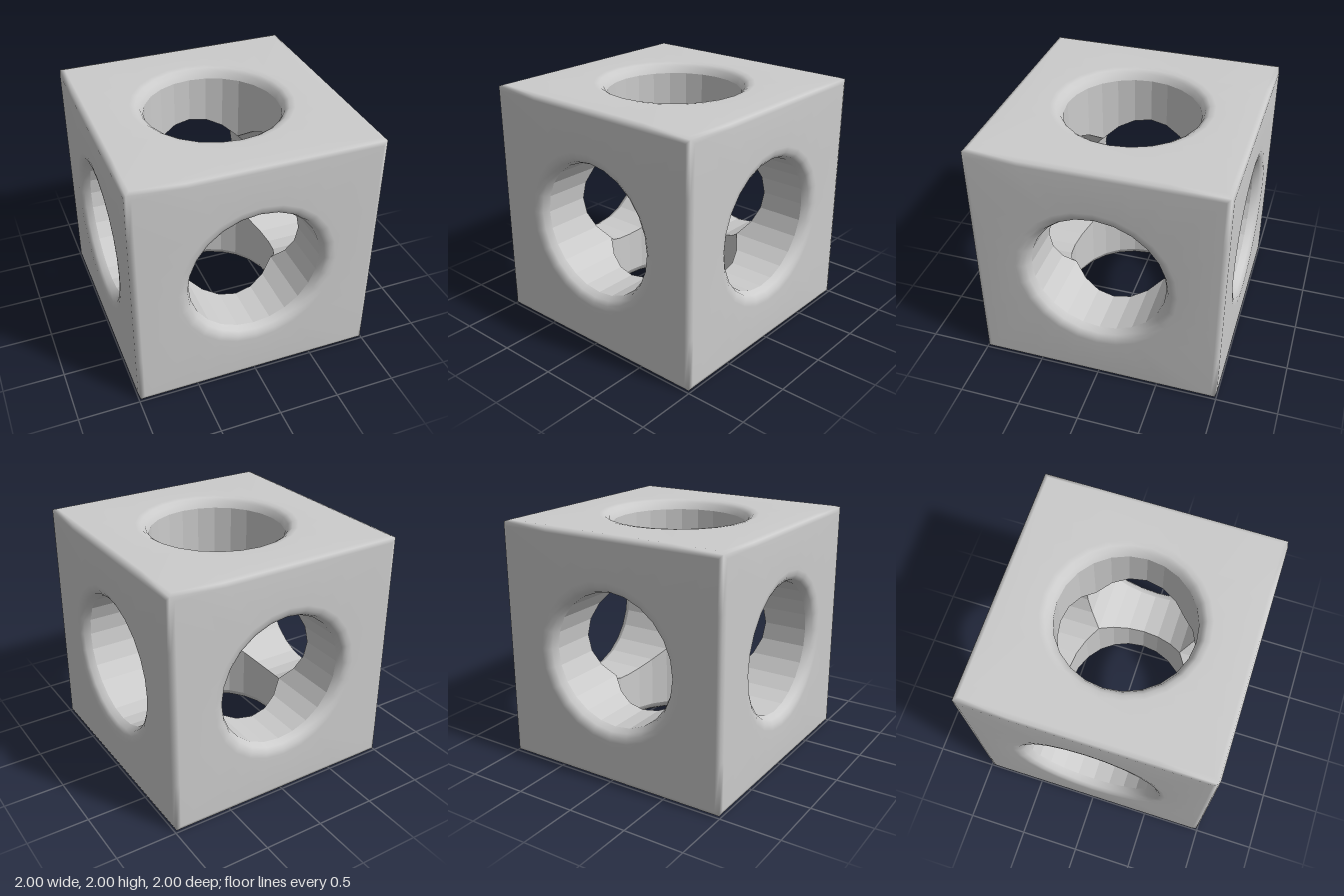
import * as THREE from 'three';
import { mergeGeometries, mergeVertices } from 'three/addons/utils/BufferGeometryUtils.js';

const SEG = 24;        // sides of each bore (multiple of 8, so corners are hit)
const BORE = 0.546;    // bore radius

// Joins rings of points, listed from outside inward, into a +z facing skin.
function skin(rings) {
  const pos = [], idx = [];
  for (const ring of rings) {
    for (let j = 0; j < SEG; j++) {
      const t = (j / SEG) * Math.PI * 2;
      pos.push(...ring(Math.cos(t), Math.sin(t)));
    }
  }
  for (let i = 0; i < rings.length - 1; i++) {
    for (let j = 0; j < SEG; j++) {
      const k = (j + 1) % SEG;
      const a = i * SEG + j, b = i * SEG + k, c = a + SEG, d = b + SEG;
      idx.push(a, b, c, b, d, c);
    }
  }
  const g = new THREE.BufferGeometry();
  g.setAttribute('position', new THREE.Float32BufferAttribute(pos, 3));
  g.setIndex(idx);
  return g;
}

const largest = (c, s) => Math.max(Math.abs(c), Math.abs(s));
const square = (h, z) => (c, s) => [c * h / largest(c, s), s * h / largest(c, s), z];
const circle = (r, z) => (c, s) => [c * r, s * r, z];

// Repeats a +z piece on all six sides of the cube.
function onSixSides(geometry) {
  const sides = [];
  for (let i = 0; i < 4; i++) sides.push(geometry.clone().rotateY(i * Math.PI / 2));
  for (const sign of [-1, 1]) sides.push(geometry.clone().rotateX(sign * Math.PI / 2));
  const g = mergeVertices(mergeGeometries(sides), 1e-4);
  g.computeVertexNormals();
  return g;
}

export function createModel() {
  const group = new THREE.Group();
  group.name = 'boredCube';

  // Flat sides with rounded outer edges and a softened rim around each hole
  const faces = onSixSides(skin([
    square(0.988, 0.988), square(0.955, 1),
    circle(0.65, 1), circle(0.605, 0.993), circle(0.57, 0.97), circle(BORE, 0.92),
  ]));
  const shell = new THREE.Mesh(faces, new THREE.MeshStandardMaterial({ color: 0xcccccc }));
  shell.name = 'outerShell';

  // Bore walls, each ending where it meets the two crossing bores
  const walls = onSixSides(skin([
    circle(BORE, 0.92),
    (c, s) => [c * BORE, s * BORE, BORE * largest(c, s)],
  ]));
  const bores = new THREE.Mesh(walls, new THREE.MeshStandardMaterial({ color: 0xcccccc, flatShading: true }));
  bores.name = 'boreWalls';

  group.add(shell, bores);
  group.position.y = 1;
  const model = new THREE.Group();
  model.name = 'model';
  model.add(group);
  return model;
}
